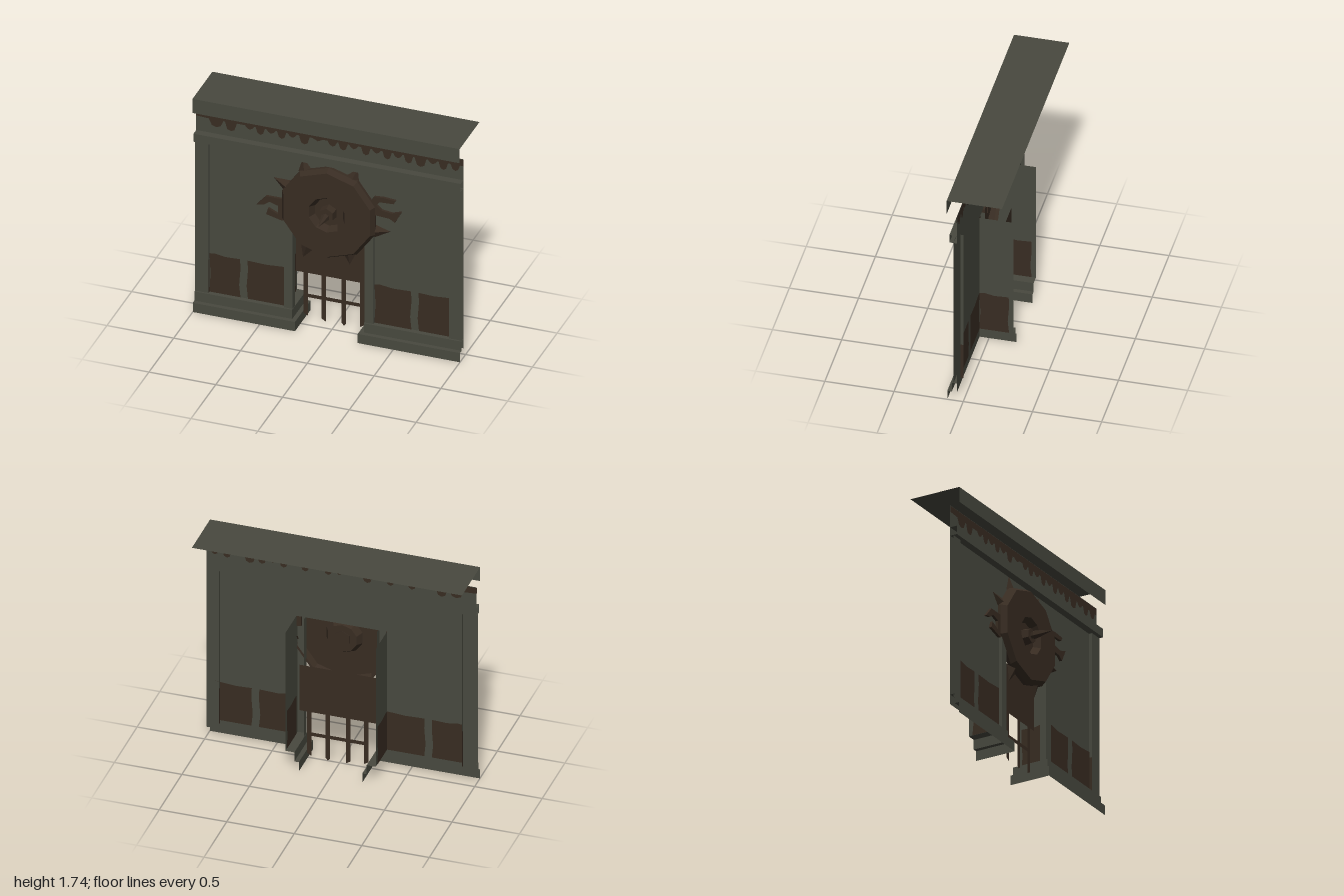
import * as THREE from 'three';

const stone = new THREE.MeshStandardMaterial({ color: 0x48493f, side: THREE.DoubleSide });
stone.name = 'greyStone';
const rust = new THREE.MeshStandardMaterial({ color: 0x382c22, side: THREE.DoubleSide });
rust.name = 'rustBrown';

const WALL = 0.045, FRONT = 0.07, BACK = 0.022; // wall plane, pilaster face, pilaster rear edge
const GATE = -0.037, WHEEL_Y = 0.99;

export function createModel() {
  const group = new THREE.Group();

  const add = (name, geometry, material, x = 0, y = 0, z = 0) => {
    const mesh = new THREE.Mesh(geometry, material);
    mesh.name = name;
    mesh.position.set(x, y, z);
    group.add(mesh);
    return mesh;
  };
  const faceted = (g) => {
    const flat = g.toNonIndexed();
    flat.computeVertexNormals();
    return flat;
  };
  // Open sheets: each quad is four [x, y, z] corners
  const sheets = (name, quads, material = stone) => {
    const pos = [];
    for (const [a, b, c, d] of quads) pos.push(...a, ...b, ...c, ...a, ...c, ...d);
    const g = new THREE.BufferGeometry();
    g.setAttribute('position', new THREE.Float32BufferAttribute(pos, 3));
    g.computeVertexNormals();
    return add(name, g, material);
  };
  const frontQuad = (x0, x1, y0, y1, z) => [[x0, y0, z], [x1, y0, z], [x1, y1, z], [x0, y1, z]];
  const sideQuad = (x, y0, y1, z0, z1) => [[x, y0, z0], [x, y0, z1], [x, y1, z1], [x, y1, z0]];
  const flatQuad = (x0, x1, y, z0, z1) => [[x0, y, z1], [x1, y, z1], [x1, y, z0], [x0, y, z0]];

  // Outlines cut as a flat sheet, or as a plate with thickness
  const outline = (points) => new THREE.Shape(points.map(([x, y]) => new THREE.Vector2(x, y)));
  const flat = (name, points, z) => add(name, new THREE.ShapeGeometry(outline(points)), rust, 0, 0, z);
  const plate = (name, points, depth, z) =>
    add(name, new THREE.ExtrudeGeometry(outline(points), { depth, bevelEnabled: false }), rust, 0, 0, z);

  // Roof slab and cornice band
  sheets('roof', [frontQuad(-1, 1, 1.625, 1.74, 0.12), flatQuad(-1, 1, 1.74, -0.28, 0.12)]);
  sheets('corniceBand', [
    frontQuad(-1, 1, 1.38, 1.445, 0.1),
    flatQuad(-1, 1, 1.445, WALL, 0.1),
    flatQuad(-1, 1, 1.38, WALL, 0.1),
  ]);

  // Upper wall, above the gateway
  sheets('upperWall', [
    frontQuad(-1, 1, 1.38, 1.616, WALL),
    frontQuad(-0.335, 0.335, 1.12, 1.38, WALL),
  ]);

  // Rust dripping down the frieze: [centre x, half width, lowest y]
  const drips = [
    [-0.85, 0.055, 1.5], [-0.74, 0.045, 1.49], [-0.6, 0.035, 1.53], [-0.52, 0.035, 1.505],
    [-0.44, 0.035, 1.53], [-0.36, 0.035, 1.505], [-0.28, 0.035, 1.53], [-0.19, 0.04, 1.495],
    [-0.09, 0.04, 1.54], [0.02, 0.035, 1.52], [0.1, 0.035, 1.505], [0.18, 0.035, 1.53],
    [0.27, 0.035, 1.5], [0.35, 0.035, 1.53], [0.43, 0.035, 1.5], [0.51, 0.035, 1.525],
    [0.59, 0.035, 1.5], [0.68, 0.045, 1.49], [0.77, 0.035, 1.53], [0.85, 0.035, 1.5], [0.94, 0.035, 1.51],
  ];
  const dripEdge = drips.flatMap(([x, w, y]) => [
    [x - w, 1.56], [x - w * 0.6, y + 0.012], [x, y], [x + w * 0.6, y + 0.012], [x + w, 1.56],
  ]);
  const friezeRust = [[-1, 1.612], [-1, 1.565], ...dripEdge, [1, 1.56], [1, 1.612]];

  // Stain with slightly uneven edges
  const stain = (x0, x1) => [
    [x0, 0.15], [x1, 0.15], [x1 - 0.01, 0.25], [x1, 0.38], [x1 - 0.003, 0.46],
    [(x0 + x1) / 2, 0.455], [x0 + 0.04, 0.468], [x0, 0.462], [x0 + 0.008, 0.3],
  ];

  // Every stain shows on both sides of its sheet
  for (const lift of [0.002, -0.002]) {
    flat('friezeRust', friezeRust, WALL + lift);
    for (const s of [1, -1]) {
      flat('wallRust', stain(s * 0.335, s * 0.612), WALL + lift);
      flat('wallRust', stain(s * 0.9, s * 0.668), WALL + lift);
      const revealRust = flat('revealRust', stain(-WALL, 0.17), 0);
      revealRust.rotation.y = Math.PI / 2;
      revealRust.position.x = s * 0.335 + lift;
    }
  }

  for (const s of [1, -1]) {
    // Wall and gateway reveal
    sheets('wall', [frontQuad(s * 0.335, s, 0.075, 1.38, WALL)]);
    sheets('gatewayReveal', [sideQuad(s * 0.335, 0.15, 1.12, -0.2, WALL)]);

    // Pilasters, whose edges run on slightly behind the wall
    sheets('outerPilaster', [
      frontQuad(s * 0.9, s, 0.13, 1.385, FRONT),
      sideQuad(s * 0.9, 0.42, 1.385, BACK, FRONT),
    ]);
    sheets('pilasterRust', [sideQuad(s * 0.9, 0.13, 0.42, BACK, FRONT)], rust);
    sheets('innerPilaster', [
      frontQuad(s * 0.27, s * 0.335, 0.15, 1.12, FRONT),
      sideQuad(s * 0.335, 0.15, 1.12, WALL, FRONT),
      sideQuad(s * 0.27, 0.15, 1.12, BACK, FRONT),
    ]);

    // Stepped base swept along the wall and into the gateway: [x inset, height, front z]
    const profile = [[0.235, 0, 0.115], [0.235, 0.075, 0.115], [0.268, 0.075, 0.082], [0.268, 0.15, 0.082], [0.335, 0.15, WALL]];
    const path = ([x, y, z]) => [[s, y, z], [s * x, y, z], [s * x, y, -0.2]];
    const quads = [];
    for (let i = 0; i < profile.length - 1; i++) {
      const low = path(profile[i]), high = path(profile[i + 1]);
      for (let j = 0; j < 2; j++) quads.push([low[j], low[j + 1], high[j + 1], high[j]]);
    }
    sheets('steppedBase', quads);
  }

  // Gate: flat panel above pointed bars
  sheets('gatePanel', [frontQuad(-0.285, 0.285, 0.4, 0.775, GATE)], rust);
  for (const [x, tip, cut] of [[-0.21, 0.05, 0.017], [-0.077, 0.03, 0.017], [0.075, 0.025, 0], [0.213, 0.04, -0.017]]) {
    flat('gateBar', [
      [x - 0.017, 0.4], [x - 0.017, tip + 0.02], [x + cut, tip], [x + 0.017, tip + 0.02], [x + 0.017, 0.4],
    ], GATE);
  }
  sheets('gateCrossbar', [frontQuad(-0.21, 0.213, 0.204, 0.232, GATE + 0.002)], rust);

  // Ten-sided wheel, a dished shell open at the back
  const rim = [[0.365, WALL], [0.365, 0.07], [0.34, 0.11], [0.14, 0.11], [0.11, 0.06], [0.001, 0.06]];
  const wheel = new THREE.LatheGeometry(rim.map(([r, z]) => new THREE.Vector2(r, z)), 10);
  wheel.rotateX(Math.PI / 2);
  add('wheel', faceted(wheel), rust, 0, WHEEL_Y, 0);

  // Hub and long centre spike
  const hub = new THREE.CylinderGeometry(0.055, 0.065, 0.065, 6);
  hub.rotateX(Math.PI / 2);
  add('hub', faceted(hub), rust, 0, WHEEL_Y, 0.0825);
  const spikeProfile = [[0.02, 0.11], [0.032, 0.14], [0.001, 0.28]];
  const spike = new THREE.LatheGeometry(spikeProfile.map(([r, z]) => new THREE.Vector2(r, z)), 6);
  spike.rotateX(Math.PI / 2);
  add('centreSpike', faceted(spike), rust, 0, WHEEL_Y, 0);

  // Rim spikes as half pyramids against the wall: base point to tip
  const rimSpikes = [
    [-0.18, 1.28, -0.2, 1.385], [0.17, 1.28, 0.21, 1.375], [-0.31, 1.13, -0.42, 1.18],
    [0.33, 0.9, 0.455, 0.915], [-0.165, 0.68, -0.2, 0.575], [0.145, 0.69, 0.15, 0.585],
  ];
  for (const [x0, y0, x1, y1] of rimSpikes) {
    const g = new THREE.ConeGeometry(0.055, Math.hypot(x1 - x0, y1 - y0), 2, 1, true, -Math.PI / 2, Math.PI);
    g.scale(1, 1, 0.6);
    const mesh = add('rimSpike', faceted(g), rust, (x0 + x1) / 2, (y0 + y1) / 2, WALL + 0.001);
    mesh.rotation.z = Math.atan2(y1 - y0, x1 - x0) - Math.PI / 2;
  }

  // Forked claws on either side of the wheel
  plate('rightClaw', [
    [0.3, 1.13], [0.34, 1.185], [0.41, 1.19], [0.5, 1.183], [0.485, 1.155], [0.38, 1.15], [0.355, 1.12],
    [0.395, 1.085], [0.475, 1.075], [0.545, 1.1], [0.495, 1.005], [0.455, 1.03], [0.3, 1.04],
  ], 0.02, WALL + 0.001);
  plate('leftClaw', [
    [-0.3, 1.0], [-0.35, 1.025], [-0.47, 1.025], [-0.54, 0.945], [-0.485, 0.955], [-0.445, 0.985], [-0.38, 0.965],
    [-0.38, 0.895], [-0.455, 0.93], [-0.47, 0.88], [-0.35, 0.85], [-0.3, 0.87],
  ], 0.02, WALL + 0.001);

  return group;
}
